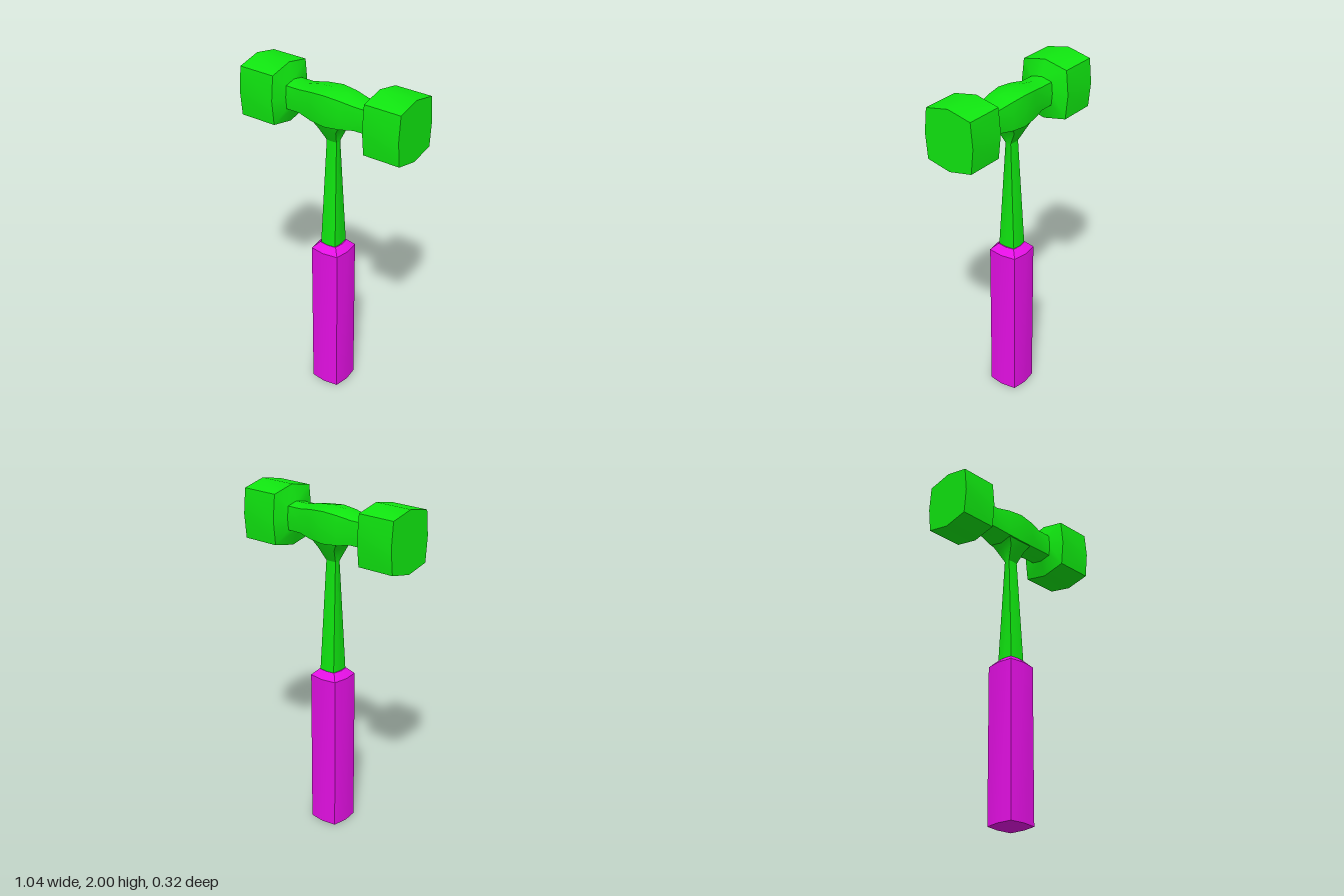
import * as THREE from 'three';
import { toCreasedNormals } from 'three/addons/utils/BufferGeometryUtils.js';

// Lofts a bulged-square section along y. Rows are [y, halfX, halfZ];
// kx and kz place the corners as a fraction of the half sizes.
function loft(rows, kx, kz) {
  const section = [[1, 0], [kx, kz], [0, 1], [-kx, kz], [-1, 0], [-kx, -kz], [0, -1], [kx, -kz]];
  const n = section.length, last = rows.length - 1;
  const pos = [], index = [];
  for (const [y, hx, hz] of rows) {
    for (const [x, z] of section) pos.push(x * hx, y, z * hz);
  }
  const bottom = pos.length / 3, top = bottom + 1;
  pos.push(0, rows[0][0], 0, 0, rows[last][0], 0);
  for (let j = 0; j < n; j++) {
    const k = (j + 1) % n;
    for (let i = 0; i < last; i++) {
      const a = i * n + j, b = i * n + k;
      index.push(a, a + n, b, b, a + n, b + n);
    }
    index.push(bottom, j, k, top, last * n + k, last * n + j);
  }
  const geometry = new THREE.BufferGeometry();
  geometry.setAttribute('position', new THREE.Float32BufferAttribute(pos, 3));
  geometry.setIndex(index);
  return toCreasedNormals(geometry, 0.48);
}

export function createModel() {
  const group = new THREE.Group();
  const metal = new THREE.MeshStandardMaterial({ color: 0x10e810 });
  const grip = new THREE.MeshStandardMaterial({ color: 0xe610e6 });
  const add = (name, geometry, material) => {
    const mesh = new THREE.Mesh(geometry, material);
    mesh.name = name;
    group.add(mesh);
    return mesh;
  };

  // Grip with a chamfered top
  add('grip', loft([[0, 0.102, 0.102], [0.935, 0.102, 0.102], [0.972, 0.062, 0.062]], 0.87, 0.87), grip);

  // Tapered shaft flaring out into the underside of the head
  add('shaft', loft([
    [0.96, 0.056, 0.06], [1.62, 0.037, 0.02], [1.7, 0.066, 0.068], [1.745, 0.1, 0.09],
  ], 0.88, 0.88), metal);

  // Double-faced head: half profile [x, scale] mirrored about the middle
  const half = [[0.518, 1], [0.295, 1], [0.265, 0.475], [0.18, 0.475], [0.095, 0.575]];
  const profile = [
    ...half.map(([x, s]) => [-x, s]),
    [0, 0.63],
    ...half.slice().reverse(),
  ];
  const head = loft(profile.map(([x, s]) => [x, 0.175 * s, 0.158 * s]), 0.825, 0.91);
  head.rotateZ(-Math.PI / 2);
  add('head', head, metal).position.y = 1.825;

  return group;
}
